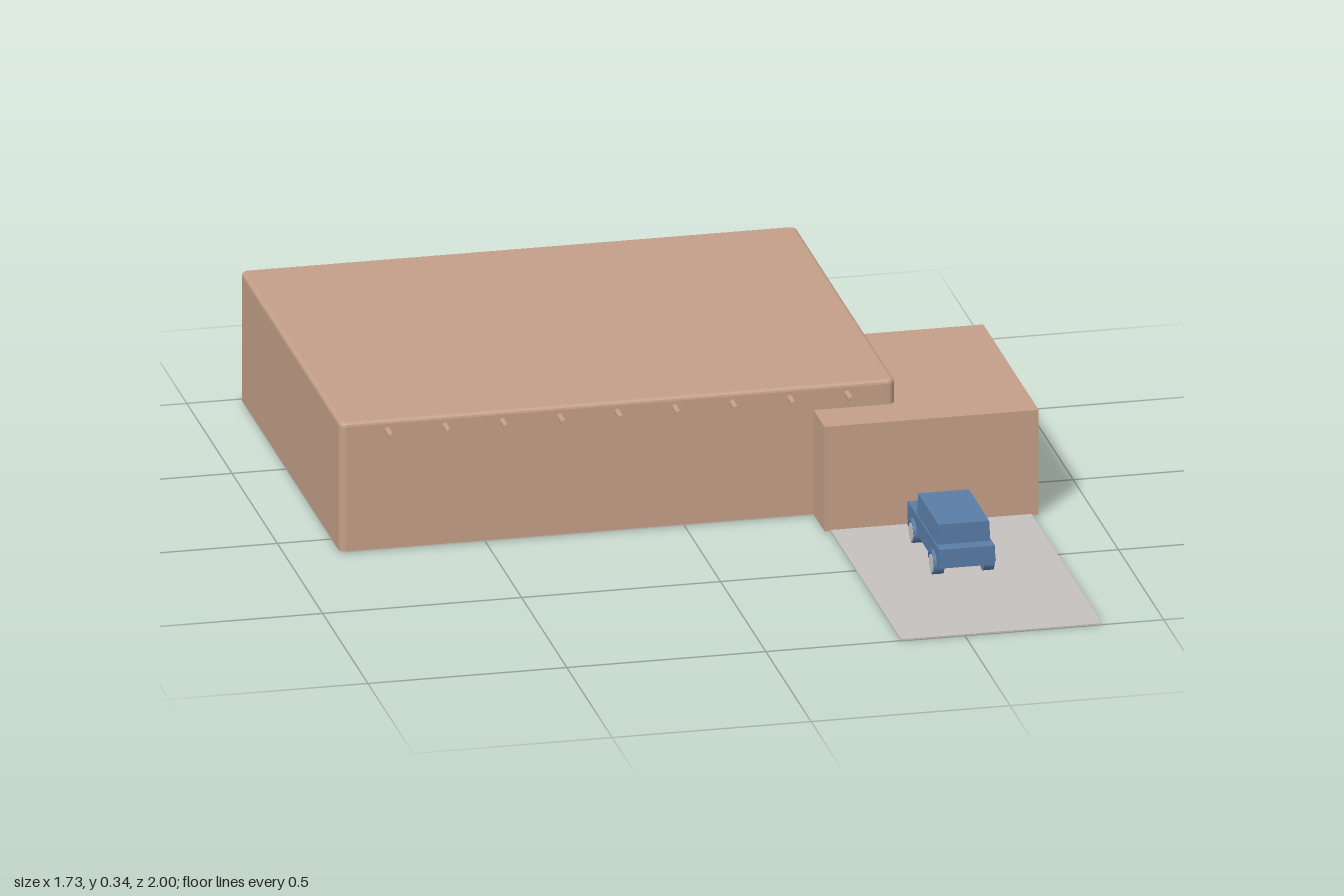
import * as THREE from 'three';

const mat = (name, color) => {
  const m = new THREE.MeshStandardMaterial({ color });
  m.name = name;
  return m;
};

export function createModel() {
  const adobe = mat('adobe', 0xc49f88);
  const concrete = mat('concrete', 0xc4c1be);
  const paint = mat('blue paint', 0x597ca6);
  const hubGrey = mat('hub grey', 0xc6c6c6);

  const model = new THREE.Group();
  model.name = 'houseWithDriveway';

  const add = (parent, name, geometry, material) => {
    const mesh = new THREE.Mesh(geometry, material);
    mesh.name = name;
    parent.add(mesh);
    return mesh;
  };
  // Box given by its extents along x, y and z
  const box = (parent, name, [x0, x1], [y0, y1], [z0, z1], material) => {
    const mesh = add(parent, name, new THREE.BoxGeometry(x1 - x0, y1 - y0, z1 - z0), material);
    mesh.position.set((x0 + x1) / 2, (y0 + y1) / 2, (z0 + z1) / 2);
    return mesh;
  };
  const roundedRect = (w, d, r) => {
    const s = new THREE.Shape();
    const x = w / 2, y = d / 2;
    s.absarc(x - r, y - r, r, 0, Math.PI / 2);
    s.absarc(-x + r, y - r, r, Math.PI / 2, Math.PI);
    s.absarc(-x + r, -y + r, r, Math.PI, Math.PI * 1.5);
    s.absarc(x - r, -y + r, r, Math.PI * 1.5, Math.PI * 2);
    s.closePath();
    return s;
  };

  // Main house: softened corners and roof edge, flat at the bottom
  const bevel = 0.01, top = 0.338, floorTop = 0.003;
  const width = 1.395, depth = 1.1;
  const houseGeo = new THREE.ExtrudeGeometry(
    roundedRect(width - 2 * bevel, depth - 2 * bevel, 0.008),
    { depth: top - bevel - floorTop, bevelEnabled: true, bevelThickness: bevel,
      bevelSize: bevel, bevelSegments: 3, curveSegments: 4 });
  houseGeo.rotateX(-Math.PI / 2);
  const p = houseGeo.attributes.position;
  for (let i = 0; i < p.count; i++) p.setY(i, Math.max(0, p.getY(i)));
  houseGeo.computeVertexNormals();
  const house = add(model, 'house', houseGeo, adobe);
  house.position.set(-0.1675, floorTop, -0.45);

  // Floor slab beneath the house
  const slab = add(model, 'floorSlab', new THREE.ExtrudeGeometry(
    roundedRect(width, depth, 0.018), { depth: floorTop, bevelEnabled: false, curveSegments: 4 }), concrete);
  slab.geometry.rotateX(-Math.PI / 2);
  slab.position.set(-0.1675, 0, -0.45);

  // Garage and driveway
  box(model, 'garage', [0.325, 0.863], [0.0015, 0.275], [-0.39, 0.22], adobe);
  box(model, 'driveway', [0.34, 0.845], [0, 0.004], [0.135, 1], concrete);

  // Roof beam ends along the front wall
  const beamGeo = new THREE.CylinderGeometry(0.008, 0.008, 0.07, 12).rotateX(Math.PI / 2);
  for (let i = 0; i < 9; i++) {
    const beam = add(model, 'roofBeam', beamGeo, adobe);
    beam.position.set(-0.745 + i * 0.1444, 0.312, 0.112);
  }

  // Car, parked with its bonnet towards the garage
  const car = new THREE.Group();
  car.name = 'car';
  car.position.x = 0.59;
  model.add(car);
  box(car, 'carBody', [-0.07, 0.07], [0.038, 0.087], [0.282, 0.631], paint);
  box(car, 'bumper', [-0.068, 0.068], [0.03, 0.046], [0.276, 0.288], paint);

  // Cabin, slightly narrower towards the roof
  const cabinGeo = new THREE.BoxGeometry(0.134, 0.055, 0.225);
  const c = cabinGeo.attributes.position;
  for (let i = 0; i < c.count; i++) if (c.getY(i) > 0) c.setX(i, c.getX(i) * 0.95);
  cabinGeo.computeVertexNormals();
  add(car, 'cabin', cabinGeo, paint).position.set(0, 0.1115, 0.4815);
  box(car, 'windscreenBase', [-0.06, 0.06], [0.087, 0.1], [0.363, 0.37], paint);

  // Wheels with hub discs and wheel arches
  const tyreGeo = new THREE.CylinderGeometry(0.028, 0.028, 0.026, 24).rotateZ(Math.PI / 2);
  const hubGeo = new THREE.CylinderGeometry(0.023, 0.023, 0.003, 24).rotateZ(Math.PI / 2);
  const archShape = new THREE.Shape();
  archShape.absarc(0, 0, 0.034, 0.15, Math.PI - 0.15, false);
  archShape.absarc(0, 0, 0.029, Math.PI - 0.15, 0.15, true);
  archShape.closePath();
  const archGeo = new THREE.ExtrudeGeometry(archShape, { depth: 0.024, bevelEnabled: false, curveSegments: 12 })
    .translate(0, 0, -0.012).rotateY(Math.PI / 2);
  for (const side of [-1, 1]) {
    for (const z of [0.348, 0.572]) {
      add(car, 'tyre', tyreGeo, paint).position.set(side * 0.063, 0.032, z);
      add(car, 'hub', hubGeo, hubGrey).position.set(side * 0.076, 0.032, z);
      add(car, 'wheelArch', archGeo, paint).position.set(side * 0.066, 0.032, z);
    }
  }
  return model;
}
